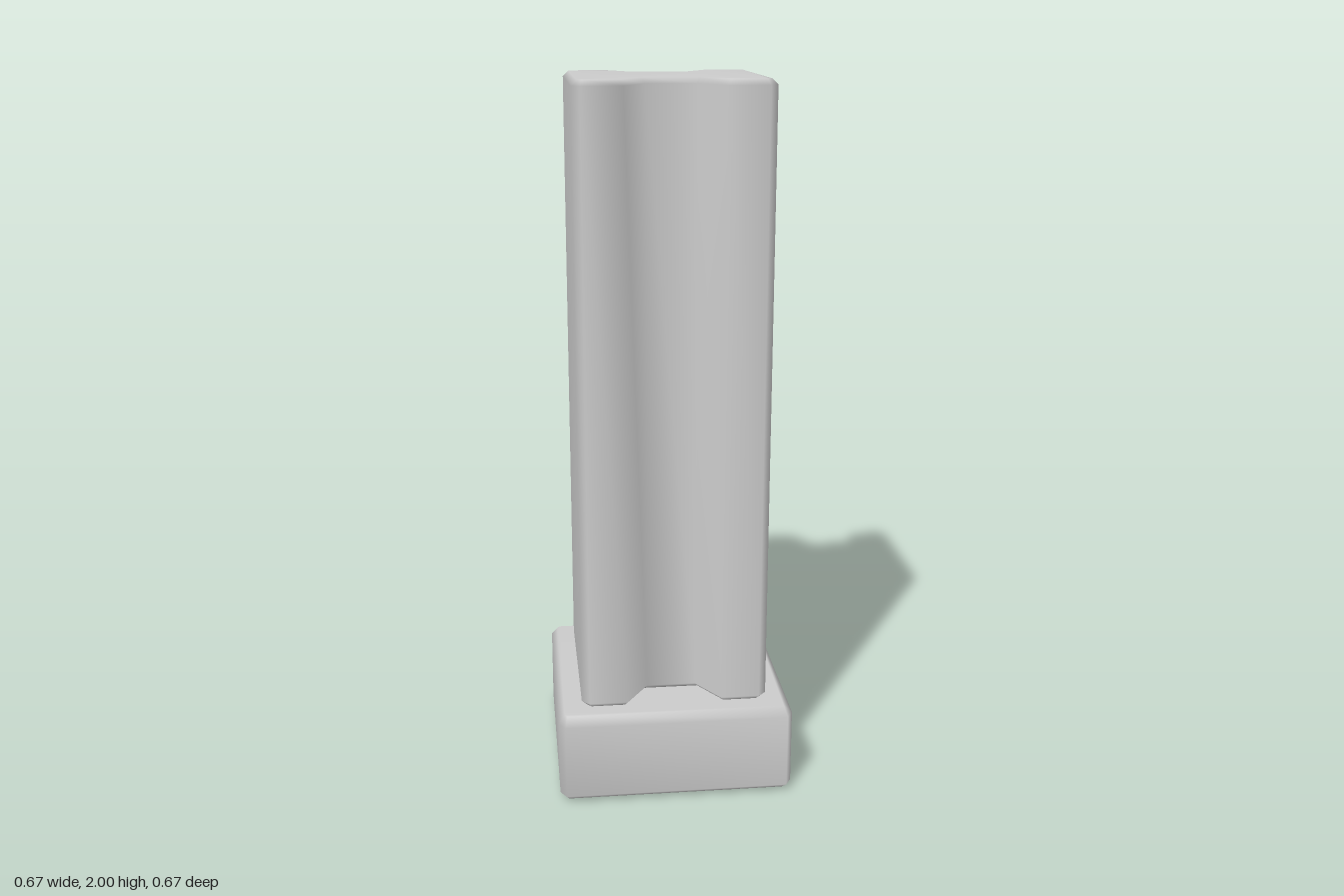
import * as THREE from 'three';
import { mergeVertices } from 'three/addons/utils/BufferGeometryUtils.js';

const material = new THREE.MeshStandardMaterial({ color: 0xcccccc });

// Upright prism with one-step bevels; area-weighted normals blend the bevels softly.
function bevelledPrism(name, outline, y0, y1, bevel, stretch = [1, 1]) {
  const shape = new THREE.Shape(outline.map(([x, y]) => new THREE.Vector2(x / stretch[0], y / stretch[1])));
  let geometry = new THREE.ExtrudeGeometry(shape, {
    depth: y1 - y0 - 2 * bevel,
    bevelEnabled: true,
    bevelThickness: bevel,
    bevelSize: bevel,
    bevelOffset: -bevel,
    bevelSegments: 1,
  });
  geometry.rotateX(-Math.PI / 2);
  geometry.scale(stretch[0], 1, stretch[1]);
  geometry.translate(0, y0 + bevel, 0);
  geometry.deleteAttribute('uv');
  geometry.deleteAttribute('normal');
  geometry.clearGroups();
  geometry = mergeVertices(geometry, 1e-4);
  geometry.computeVertexNormals();
  const mesh = new THREE.Mesh(geometry, material);
  mesh.name = name;
  return mesh;
}

// Complete an outline from its +x +y quarter (listed counterclockwise).
function mirrorQuarter(quarter) {
  const left = quarter.map(([x, y]) => [-x, y]).reverse();
  const upper = [...quarter, ...left];
  return [...upper, ...upper.map(([x, y]) => [-x, -y])];
}

export function createModel() {
  const group = new THREE.Group();
  group.name = 'pillar';

  // Square plinth, its chamfers a little deeper front to back
  const base = mirrorQuarter([[0.333, 0.305], [0.316, 0.333]]);
  group.add(bevelledPrism('base', base, 0, 0.26, 0.022, [0.77, 1.25]));

  // Square shaft with a trapezoid groove down the front and back
  const shaft = mirrorQuarter([[0.265, 0.243], [0.243, 0.265], [0.134, 0.265], [0.07, 0.167]]);
  group.add(bevelledPrism('shaft', shaft, 0.26, 2, 0.015));

  return group;
}
